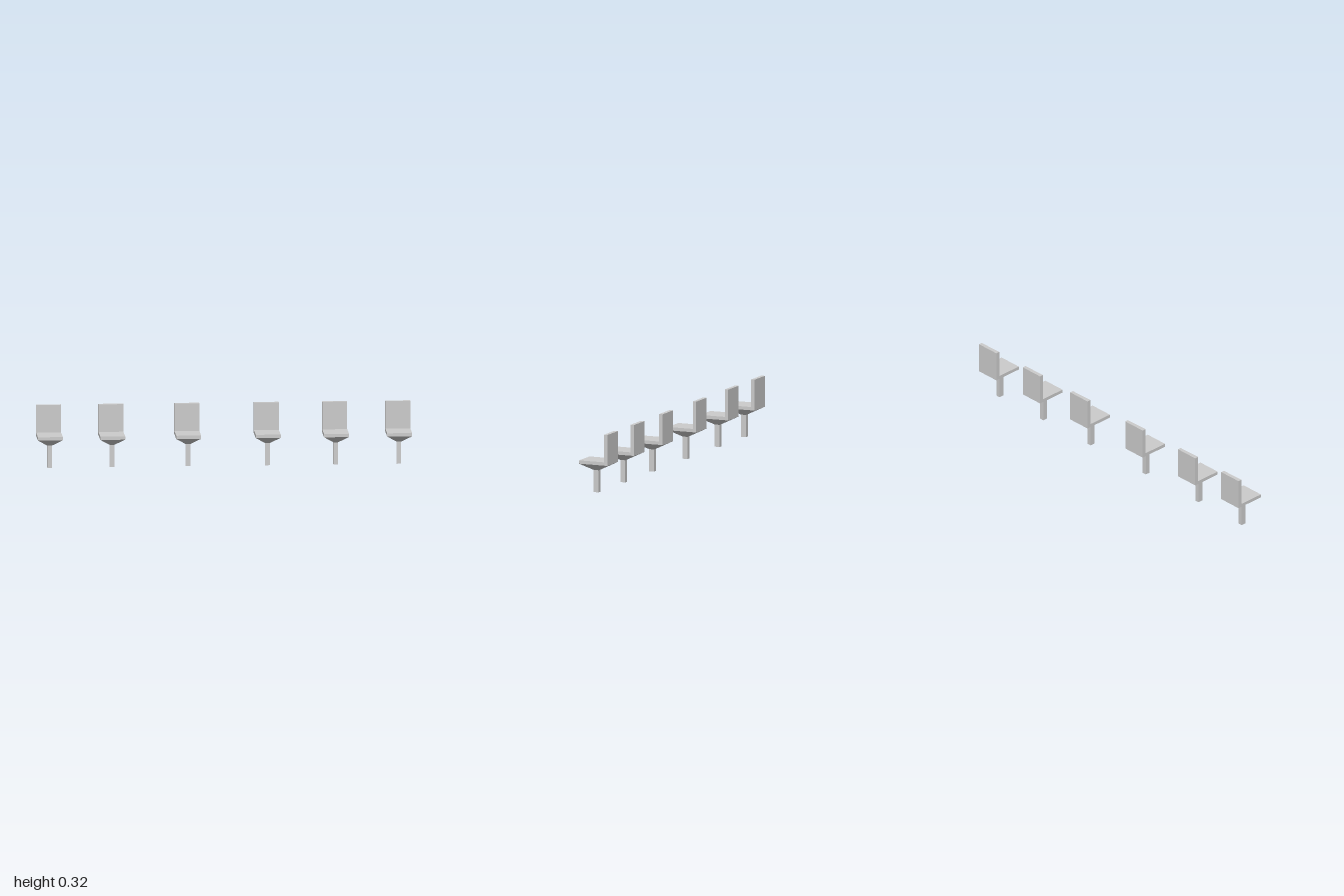
import * as THREE from 'three';

const material = new THREE.MeshStandardMaterial({ color: 0xcccccc, flatShading: true });

// Box given by its limits on each axis
function block(name, [x0, x1], [y0, y1], [z0, z1], reshape) {
  const geometry = new THREE.BoxGeometry(x1 - x0, y1 - y0, z1 - z0);
  geometry.translate((x0 + x1) / 2, (y0 + y1) / 2, (z0 + z1) / 2);
  if (reshape) {
    const p = geometry.attributes.position;
    const v = new THREE.Vector3();
    for (let i = 0; i < p.count; i++) {
      reshape(v.fromBufferAttribute(p, i));
      p.setXYZ(i, v.x, v.y, v.z);
    }
    geometry.computeVertexNormals();
  }
  const mesh = new THREE.Mesh(geometry, material);
  mesh.name = name;
  return mesh;
}

function createChair() {
  const chair = new THREE.Group();
  const halfWidth = 0.0667, halfDepth = 0.083;
  const postHalf = 0.0122, postZ = [-0.007, 0.022];
  const postTop = 0.12, seatBottom = 0.158, seatTop = 0.176;
  const width = [-halfWidth, halfWidth];

  chair.add(block('post', [-postHalf, postHalf], [0, postTop], postZ));

  // Flared support: the lower corners draw in to the post
  chair.add(block('seatSupport', width, [postTop, seatBottom], [-halfDepth, halfDepth], (v) => {
    if (v.y < (postTop + seatBottom) / 2) {
      v.x = Math.sign(v.x) * postHalf;
      v.z = v.z < 0 ? postZ[0] : postZ[1];
    }
  }));

  chair.add(block('seat', width, [seatBottom, seatTop], [-halfDepth, halfDepth]));

  // Backrest, very slightly thinner towards its left side
  chair.add(block('backrest', width, [seatTop, 0.325], [-halfDepth, -0.061], (v) => {
    if (v.z > -0.07 && v.x > 0) v.z -= 0.002;
  }));
  return chair;
}

export function createModel() {
  const model = new THREE.Group();
  model.name = 'chairRow';
  [-0.9333, -0.6, -0.194, 0.231, 0.596, 0.9333].forEach((x, i) => {
    const chair = createChair();
    chair.name = `chair${i + 1}`;
    chair.position.x = x;
    model.add(chair);
  });
  return model;
}
